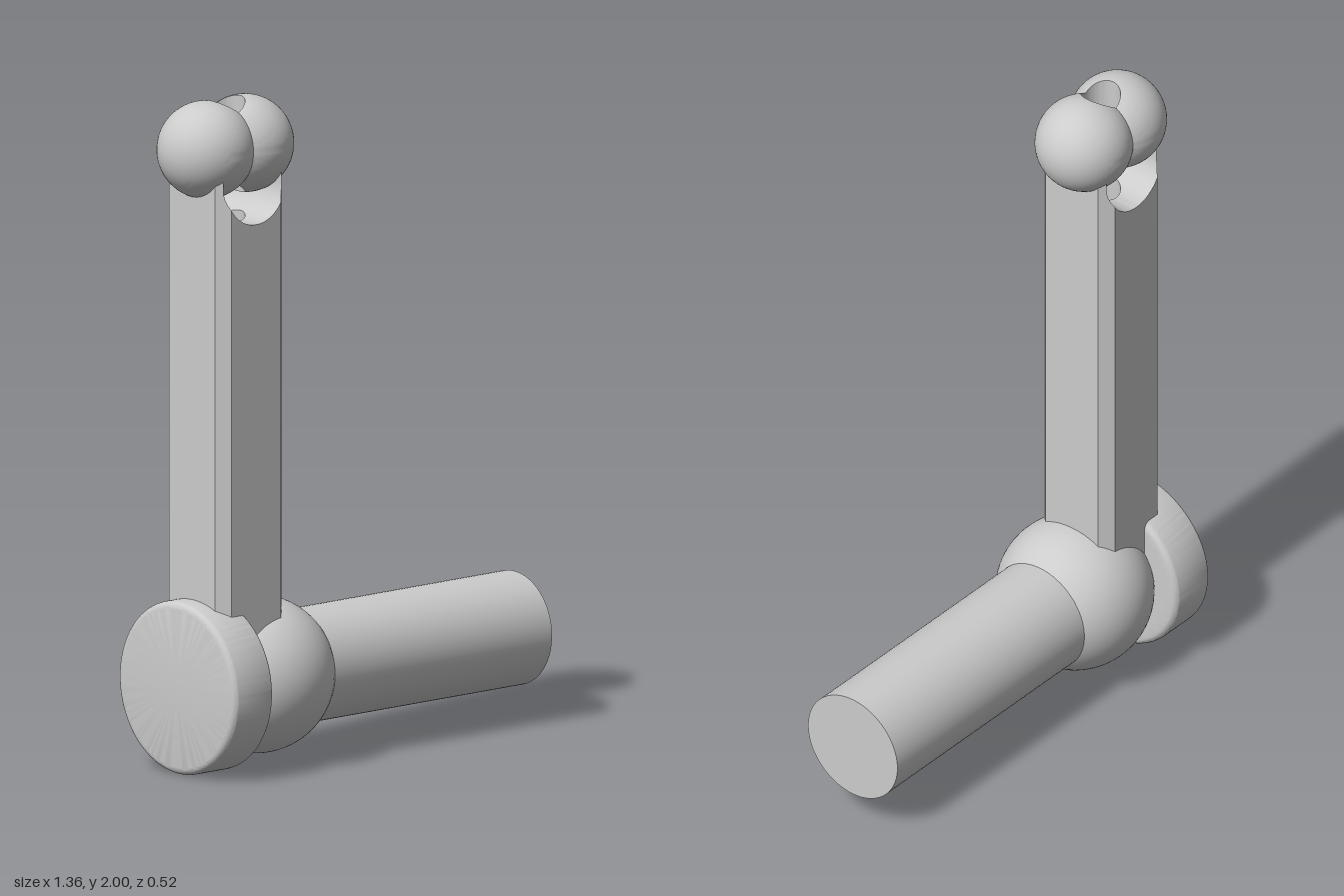
import * as THREE from 'three';
import { toCreasedNormals } from 'three/addons/utils/BufferGeometryUtils.js';

const BORE_X = -0.46, BORE_R = 0.058; // vertical bore through the whole post
const AXIS_Y = 0.259;                 // height of the horizontal axle

// Skin neighbouring rows of points with quads, dropping empty triangles
function loft(rows, crease) {
  const pos = [];
  const tri = (a, b, c) => {
    const area = b.clone().sub(a).cross(c.clone().sub(a)).length();
    if (area > 1e-9) pos.push(...a.toArray(), ...b.toArray(), ...c.toArray());
  };
  for (let i = 0; i + 1 < rows.length; i++) {
    for (let j = 0; j + 1 < rows[i].length; j++) {
      const a = rows[i][j], b = rows[i + 1][j], c = rows[i + 1][j + 1], d = rows[i][j + 1];
      tri(a, b, c);
      tri(a, c, d);
    }
  }
  const g = new THREE.BufferGeometry();
  g.setAttribute('position', new THREE.Float32BufferAttribute(pos, 3));
  return toCreasedNormals(g, crease);
}

// Sphere centred at x = offset, drilled by the bore; swept round the bore axis
function boredSphere(offset, radius, from, to, steps) {
  const rows = [];
  for (let i = 0; i <= steps; i++) {
    const t = from + (to - from) * i / steps;
    const mid = offset * Math.cos(t);
    const rho = Math.sqrt(radius ** 2 - (offset * Math.sin(t)) ** 2);
    const start = Math.acos((BORE_R - mid) / rho);
    const row = [];
    for (let j = 0; j <= 40; j++) {
      const phi = start * (1 - j / 20);
      const r = mid + rho * Math.cos(phi);
      row.push(new THREE.Vector3(r * Math.cos(t), rho * Math.sin(phi), r * Math.sin(t)));
    }
    row.push(row[0].clone()); // bore wall
    rows.push(row);
  }
  return loft(rows, 0.5);
}

// Half of the chamfered square post, with a round notch across its top
function postHalf() {
  const half = 0.1325, depth = 0.135, chamfer = 0.035;
  const bottom = 0.26, top = 1.85, notchR = 0.115, notchY = 1.755;
  const xs = [half - chamfer];
  for (let k = 0; k <= 12; k++) {
    const s = Math.sin(k / 12 * Math.PI / 2);
    xs.push(BORE_R * s, notchR * s);
  }
  xs.sort((a, b) => a - b);
  const side = xs.map(x => [x, notchY - Math.sqrt(Math.max(0, notchR ** 2 - x * x))]);
  side.push([notchR, top], [half, top], [half, top, 0]);
  const stations = [...side.map(([x, ...rest]) => [-x, ...rest]).reverse(), ...side];
  const rows = stations.map(([x, y, z]) => {
    const outer = z ?? Math.min(depth, depth + half - chamfer - Math.abs(x));
    const inner = Math.sqrt(Math.max(0, BORE_R ** 2 - x * x));
    return [[outer, bottom], [outer, y], [inner, y], [inner, bottom]]
      .map(([pz, py]) => new THREE.Vector3(x, py, pz));
  });
  return loft(rows, 0.5);
}

// Round end plate with softened rims, grooved where the bore grazes it
function plateGeometry() {
  const R = 0.258, x0 = -0.655, x1 = -0.498, round = 0.022;
  const pts = [new THREE.Vector2(0, x0)];
  for (const [cx, a0] of [[x0 + round, -Math.PI / 2], [x1 - round, 0]]) {
    for (let k = 0; k <= 6; k++) {
      const a = a0 + k / 6 * Math.PI / 2;
      pts.push(new THREE.Vector2(R - round + round * Math.cos(a), cx + round * Math.sin(a)));
    }
  }
  for (let k = 9; k >= 0; k--) pts.push(new THREE.Vector2((R - round) * k / 10, x1));
  const g = new THREE.LatheGeometry(pts, 192).rotateZ(-Math.PI / 2);
  const p = g.attributes.position;
  for (let i = 0; i < p.count; i++) {
    const z = p.getZ(i);
    if (Math.abs(z) < BORE_R) {
      p.setX(i, Math.min(p.getX(i), BORE_X - Math.sqrt(BORE_R ** 2 - z * z)));
    }
  }
  return toCreasedNormals(g, 0.5);
}

export function createModel() {
  const model = new THREE.Group();
  const material = new THREE.MeshStandardMaterial({ color: 0xcccccc });
  const add = (name, geometry, x, y, turn = 0) => {
    const mesh = new THREE.Mesh(geometry, material);
    mesh.name = name;
    mesh.position.set(x, y, 0);
    mesh.rotation.y = turn;
    model.add(mesh);
  };

  // Post and the twin balls on top, each half turned about the bore
  const post = postHalf();
  const ball = boredSphere(0.077, 0.145, -Math.PI / 2, Math.PI / 2, 40);
  for (const [side, turn] of [['left', 0], ['right', Math.PI]]) {
    add(side + 'TopBall', ball, BORE_X, 1.855, turn);
  }
  add('frontPost', post, BORE_X, 0);
  add('backPost', post, BORE_X, 0, Math.PI);

  // Bottom joint: ball, axle and end plate
  add('jointBall', boredSphere(0.12, 0.234, -Math.PI, Math.PI, 80), BORE_X, AXIS_Y + 0.003);
  const axle = new THREE.CylinderGeometry(0.17, 0.17, 0.98, 64).rotateZ(Math.PI / 2);
  add('axle', axle, 0.19, AXIS_Y + 0.003);
  add('endPlate', plateGeometry(), 0, AXIS_Y);
  return model;
}
